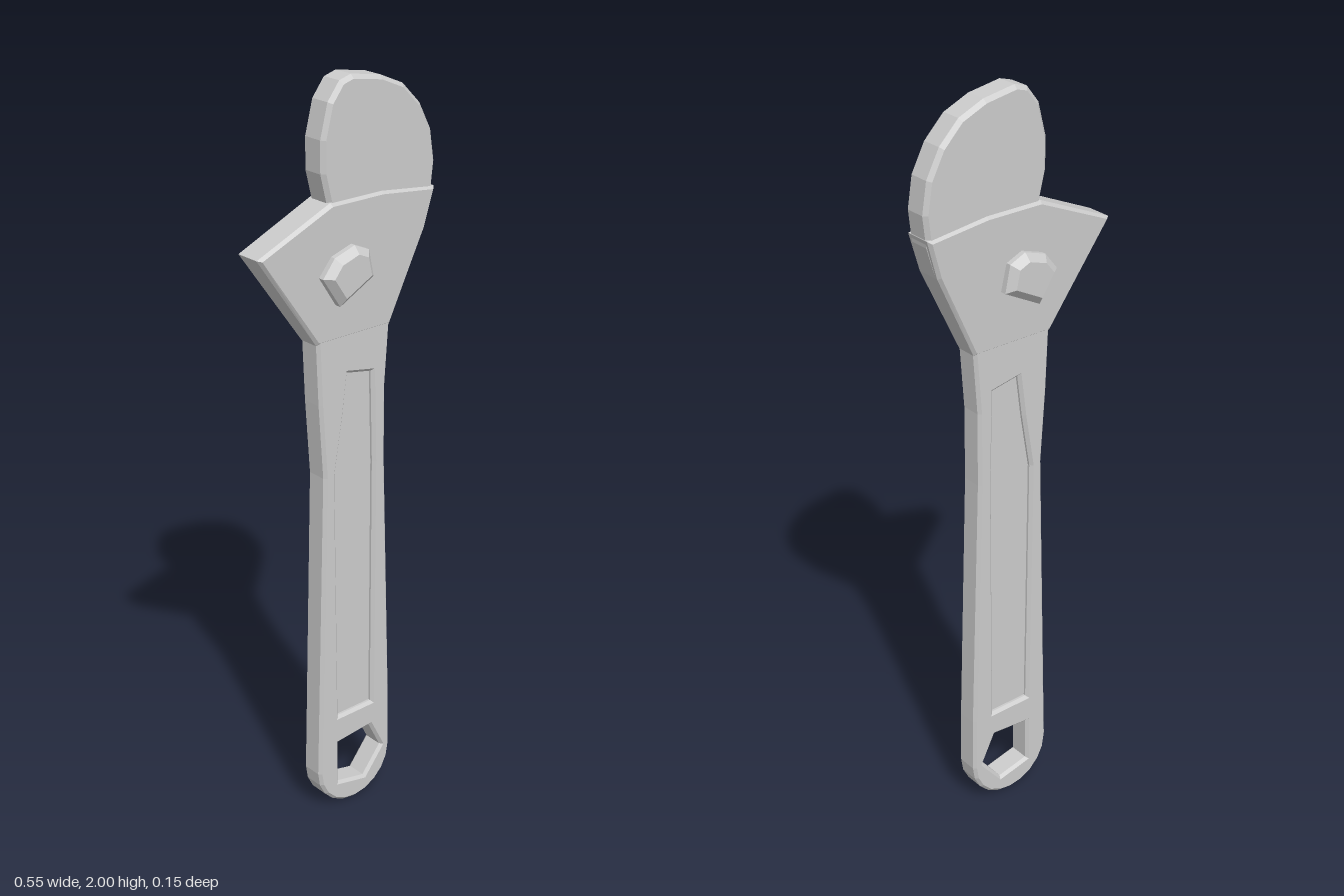
import * as THREE from 'three';

const steel = new THREE.MeshStandardMaterial({ color: 0xcccccc, flatShading: true });
const toPoints = (list) => list.map(([x, y]) => new THREE.Vector2(x, y));

// Flat plate centred on z = 0, with chamfered rims that stay inside the outline
function plate(name, outline, half, bevel, holes = []) {
  const shape = new THREE.Shape(toPoints(outline));
  holes.forEach((h) => shape.holes.push(new THREE.Path(toPoints(h))));
  const geometry = new THREE.ExtrudeGeometry(shape, {
    depth: 2 * (half - bevel), steps: 1,
    bevelEnabled: bevel > 0, bevelThickness: bevel, bevelSize: bevel, bevelOffset: -bevel, bevelSegments: 1,
  });
  geometry.translate(0, 0, -(half - bevel));
  const mesh = new THREE.Mesh(geometry, steel);
  mesh.name = name;
  return mesh;
}

export function createModel() {
  const wrench = new THREE.Group();
  wrench.name = 'adjustableWrench';

  // Handle: rounded foot, slim waist, hanging hole and a long recess
  const foot = [];
  for (let i = 0; i <= 10; i++) {
    const a = Math.PI * (1 + i / 10);
    foot.push([0.027 + 0.125 * Math.cos(a), 0.125 + 0.125 * Math.sin(a)]);
  }
  const handleOutline = [
    ...foot, [0.15, 0.28], [0.125, 1.0], [0.124, 1.2], [0.137, 1.38],
    [-0.098, 1.38], [-0.09, 1.2], [-0.076, 1.0], [-0.094, 0.28],
  ];
  const hangingHole = [[-0.03, 0.2], [0.08, 0.21], [0.12, 0.13], [0.06, 0.055], [-0.03, 0.075]];
  const recess = [
    [-0.03, 0.285], [0.085, 0.285], [0.085, 1.0], [0.078, 1.25],
    [0, 1.265], [-0.015, 1.15], [-0.04, 1.0],
  ];
  wrench.add(plate('handle', handleOutline, 0.034, 0.008, [hangingHole, recess]));

  // Thin web closing the recess between both faces
  wrench.add(plate('handleWeb', recess, 0.02, 0));

  // Fixed jaw: the rounded upper part of the head
  wrench.add(plate('fixedJaw', [
    [-0.05, 1.6], [0.245, 1.6], [0.266, 1.67], [0.275, 1.75], [0.262, 1.83],
    [0.225, 1.9], [0.17, 1.955], [0.1, 1.985], [0.01, 2.0], [-0.025, 1.99],
    [-0.06, 1.945], [-0.082, 1.86], [-0.082, 1.78], [-0.062, 1.7],
  ], 0.037, 0.01));

  // Head with the pointed lower jaw, thickening upwards to a ledge
  const head = plate('headAndLowerJaw', [
    [-0.098, 1.36], [0.135, 1.36], [0.242, 1.59], [0.27, 1.69], [0.1, 1.71], [-0.06, 1.71], [-0.278, 1.615],
  ], 0.04, 0.008);
  const p = head.geometry.attributes.position;
  for (let i = 0; i < p.count; i++) {
    const t = THREE.MathUtils.clamp((p.getY(i) - 1.36) / 0.34, 0, 1);
    p.setZ(i, p.getZ(i) * (0.86 + 0.26 * t));
  }
  head.geometry.computeVertexNormals();
  wrench.add(head);

  // Adjusting screw showing on both faces
  wrench.add(plate('adjustingScrew', [
    [-0.098, 1.535], [-0.045, 1.455], [0.06, 1.51], [0.045, 1.58], [0.0, 1.6], [-0.062, 1.58],
  ], 0.073, 0.018));

  return wrench;
}
